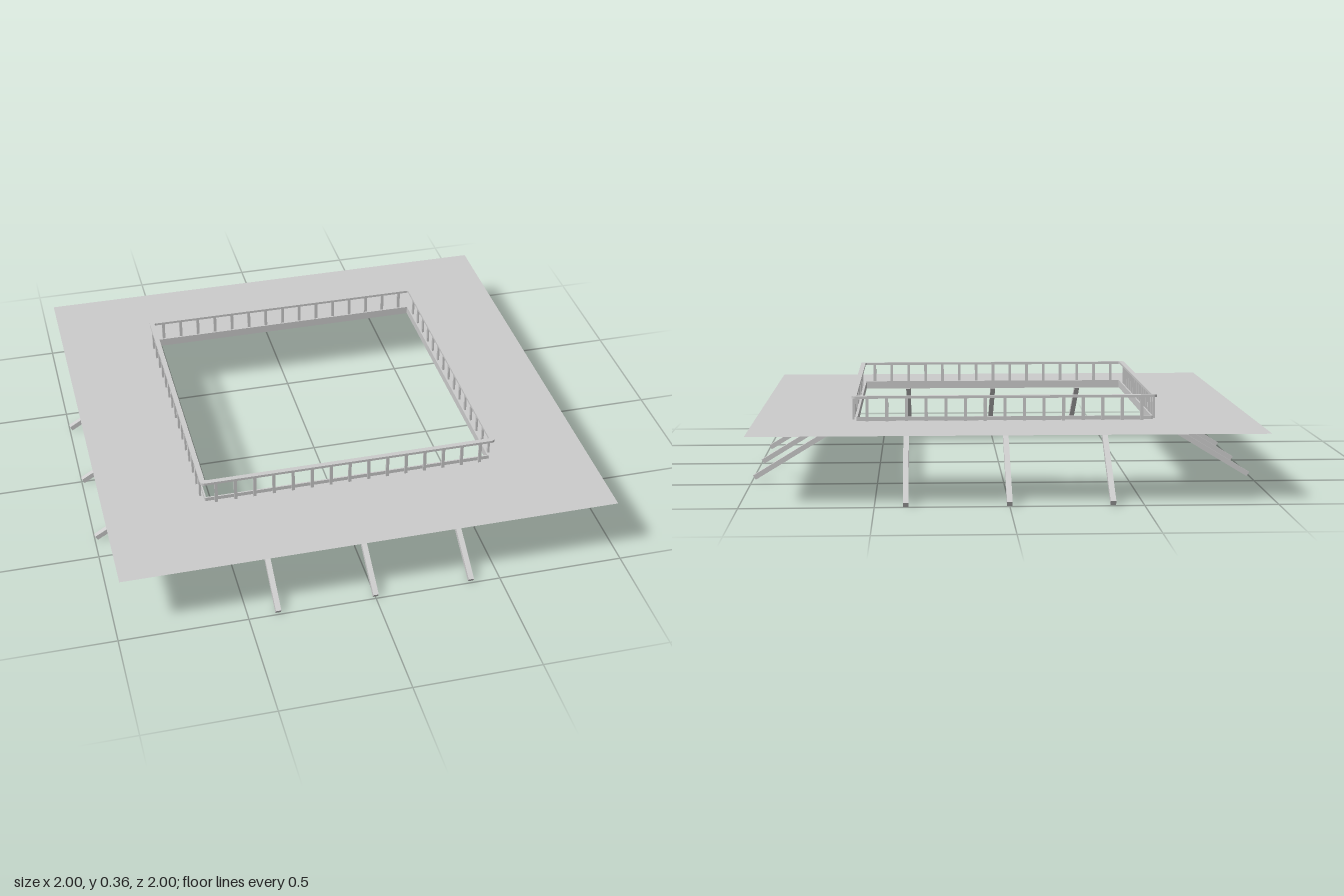
import * as THREE from 'three';

const material = new THREE.MeshStandardMaterial({ color: 0xcccccc, flatShading: true });
const sheetMaterial = new THREE.MeshStandardMaterial({ color: 0xcccccc, side: THREE.DoubleSide });

// Square outline with half size h and optional corner radius r
function square(target, h, r = 0) {
  if (!r) {
    target.moveTo(-h, -h).lineTo(h, -h).lineTo(h, h).lineTo(-h, h);
  } else {
    const k = h - r;
    target.absarc(k, k, r, 0, Math.PI / 2);
    target.absarc(-k, k, r, Math.PI / 2, Math.PI);
    target.absarc(-k, -k, r, Math.PI, Math.PI * 1.5);
    target.absarc(k, -k, r, Math.PI * 1.5, Math.PI * 2);
  }
  target.closePath();
  return target;
}

function frameShape(outer, inner, rOuter, rInner) {
  const shape = square(new THREE.Shape(), outer, rOuter);
  shape.holes.push(square(new THREE.Path(), inner, rInner));
  return shape;
}

// Square ring lying flat, from y to y + height
function ring(name, shape, y, height) {
  const geometry = new THREE.ExtrudeGeometry(shape, { depth: height, bevelEnabled: false, curveSegments: 4 });
  const mesh = new THREE.Mesh(geometry.rotateX(-Math.PI / 2), material);
  mesh.position.y = y;
  mesh.name = name;
  return mesh;
}

export function createModel() {
  const model = new THREE.Group();
  model.name = 'railedPlatform';

  // Thin deck sheet with a square opening
  const deck = new THREE.Mesh(
    new THREE.ShapeGeometry(frameShape(0.975, 0.578)).rotateX(-Math.PI / 2), sheetMaterial);
  deck.position.y = 0.262;
  deck.name = 'deck';
  model.add(deck);

  // Curb around the opening and the handrail above it
  model.add(ring('curb', frameShape(0.579, 0.573, 0.004, 0.001), 0.244, 0.033));
  model.add(ring('handrail', frameShape(0.596, 0.576, 0.016, 0.006), 0.351, 0.01));

  // Each side carries a row of balusters and three slanted struts
  const balusterGeometry = new THREE.BoxGeometry(0.012, 0.098, 0.008);
  const top = new THREE.Vector2(0.6, 0.248);
  const foot = new THREE.Vector2(0.994, 0.0088);
  const strutGeometry = new THREE.BoxGeometry(0.021, 0.02, top.distanceTo(foot));
  for (let s = 0; s < 4; s++) {
    const side = new THREE.Group();
    side.name = 'side' + (s + 1);
    side.rotation.y = s * Math.PI / 2;
    for (let i = -7; i <= 7; i++) {
      const baluster = new THREE.Mesh(balusterGeometry, material);
      baluster.position.set(i * 0.0765, 0.304, 0.59);
      baluster.name = 'baluster';
      side.add(baluster);
    }
    for (const x of [-0.384, 0, 0.384]) {
      const strut = new THREE.Mesh(strutGeometry, material);
      strut.position.set(x, (top.y + foot.y) / 2, (top.x + foot.x) / 2);
      strut.rotation.x = Math.atan2(top.y - foot.y, foot.x - top.x);
      strut.name = 'strut';
      side.add(strut);
    }
    model.add(side);
  }
  return model;
}
